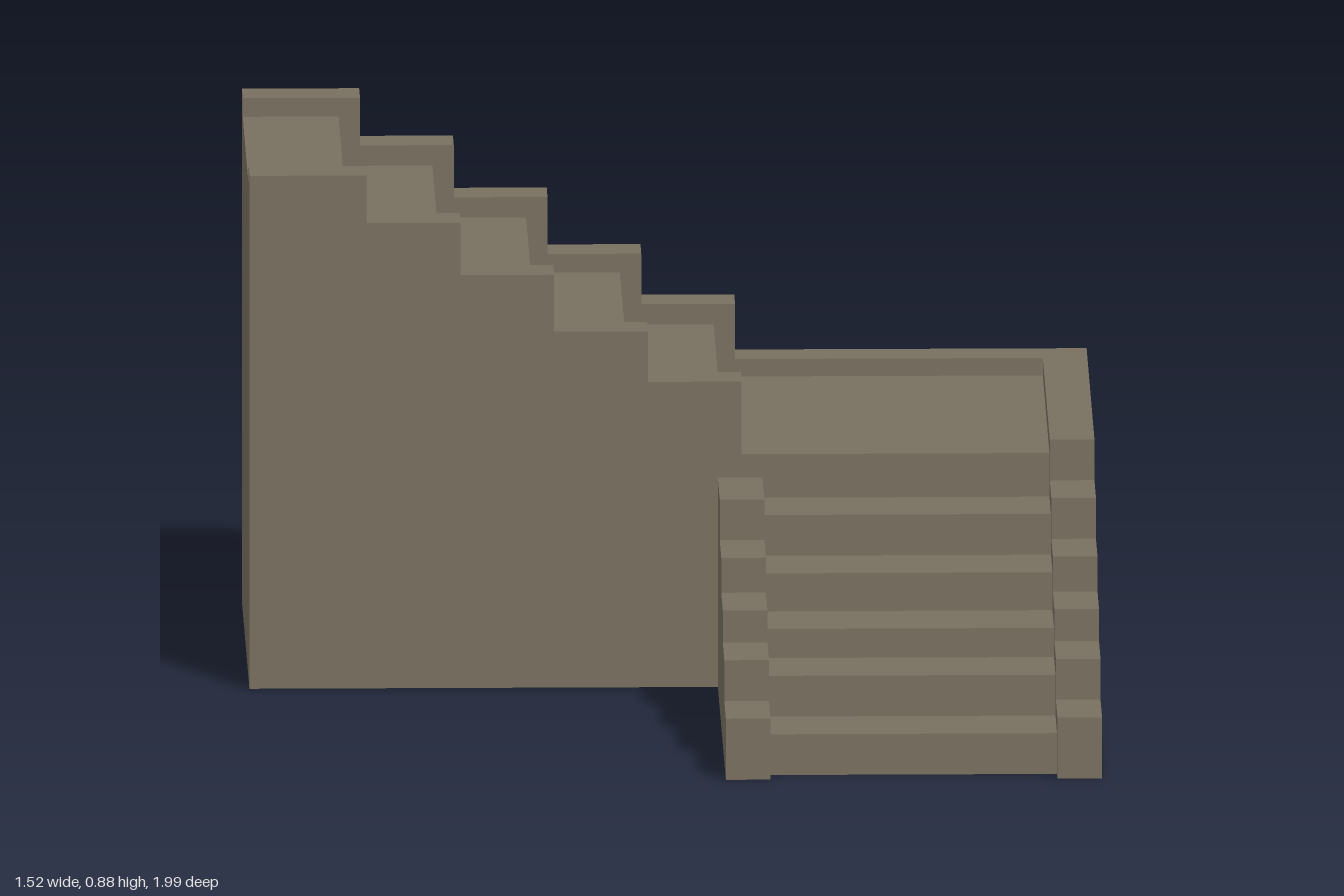
import * as THREE from 'three';

// L-shaped stone staircase: a lower flight along z, a corner landing, and an upper flight along -x.
// Built square with the outer corner at the origin, then turned into place.
export function createModel() {
  const stone = new THREE.MeshStandardMaterial({ color: 0x787060 });
  stone.name = 'stone';

  const WALL = 0.075, LOWER_W = 0.632, UPPER_W = 0.683, NOSE = 0.036;
  const LANDING = 0.4, PARAPET = 0.43;
  const LOWER_END = 1.41, LOWER_RUN = 0.139;
  const UPPER_START = -0.592, UPPER_RUN = 0.1575, UPPER_END = -1.419;

  const stairs = new THREE.Group();
  stairs.name = 'stairs';

  // Solid stepped profile: stops has one more entry than tops; 'from' to 'to' is its extent across.
  function stepped(name, axis, stops, tops, from, to) {
    const pts = [new THREE.Vector2(stops[0], 0)];
    tops.forEach((y, i) => {
      pts.push(new THREE.Vector2(stops[i], y), new THREE.Vector2(stops[i + 1], y));
    });
    pts.push(new THREE.Vector2(stops[tops.length], 0));
    const geo = new THREE.ExtrudeGeometry(new THREE.Shape(pts), { depth: to - from, bevelEnabled: false });
    if (axis === 'z') geo.rotateY(-Math.PI / 2).translate(to, 0, 0);
    else geo.translate(0, 0, from);
    const mesh = new THREE.Mesh(geo, stone);
    mesh.name = name;
    stairs.add(mesh);
  }

  // Evenly spaced step fronts, closed by the far end
  const run = (start, step, n, end) => [...Array.from({ length: n }, (_, i) => start + step * i), end];

  // Lower flight
  const lowTreads = [0.07, 0.14, 0.19, 0.255, 0.325];
  const lowWalls = [0.105, 0.175, 0.23, 0.29, 0.36];
  stepped('lowerTreads', 'z', run(LOWER_END - NOSE, -LOWER_RUN, 5, UPPER_W), lowTreads, -LOWER_W + WALL, -WALL);
  stepped('lowerInnerWall', 'z', run(LOWER_END, -LOWER_RUN, 5, UPPER_W), lowWalls, -LOWER_W, -LOWER_W + WALL);
  stepped('lowerOuterWall', 'z', run(LOWER_END, -LOWER_RUN, 6, WALL), [...lowWalls, PARAPET], -WALL, 0);

  // Corner landing
  stepped('landing', 'x', [-WALL, -LOWER_W], [LANDING], WALL, UPPER_W);

  // Upper flight; its back wall continues as the landing parapet
  const highTreads = [0.49, 0.58, 0.675, 0.765, 0.85];
  const highWalls = [0.525, 0.612, 0.71, 0.8, 0.882];
  const wallStops = run(UPPER_START, -UPPER_RUN, 5, UPPER_END);
  stepped('upperTreads', 'x', run(UPPER_START - NOSE, -UPPER_RUN, 5, UPPER_END), highTreads, WALL, UPPER_W - WALL);
  stepped('upperInnerWall', 'x', wallStops, highWalls, UPPER_W - WALL, UPPER_W);
  stepped('upperBackWall', 'x', [0, ...wallStops], [PARAPET, ...highWalls], 0, WALL);

  stairs.rotation.y = -0.705;
  stairs.position.set(0.761, 0, -0.08);

  const model = new THREE.Group();
  model.name = 'cornerStaircase';
  model.add(stairs);
  return model;
}
